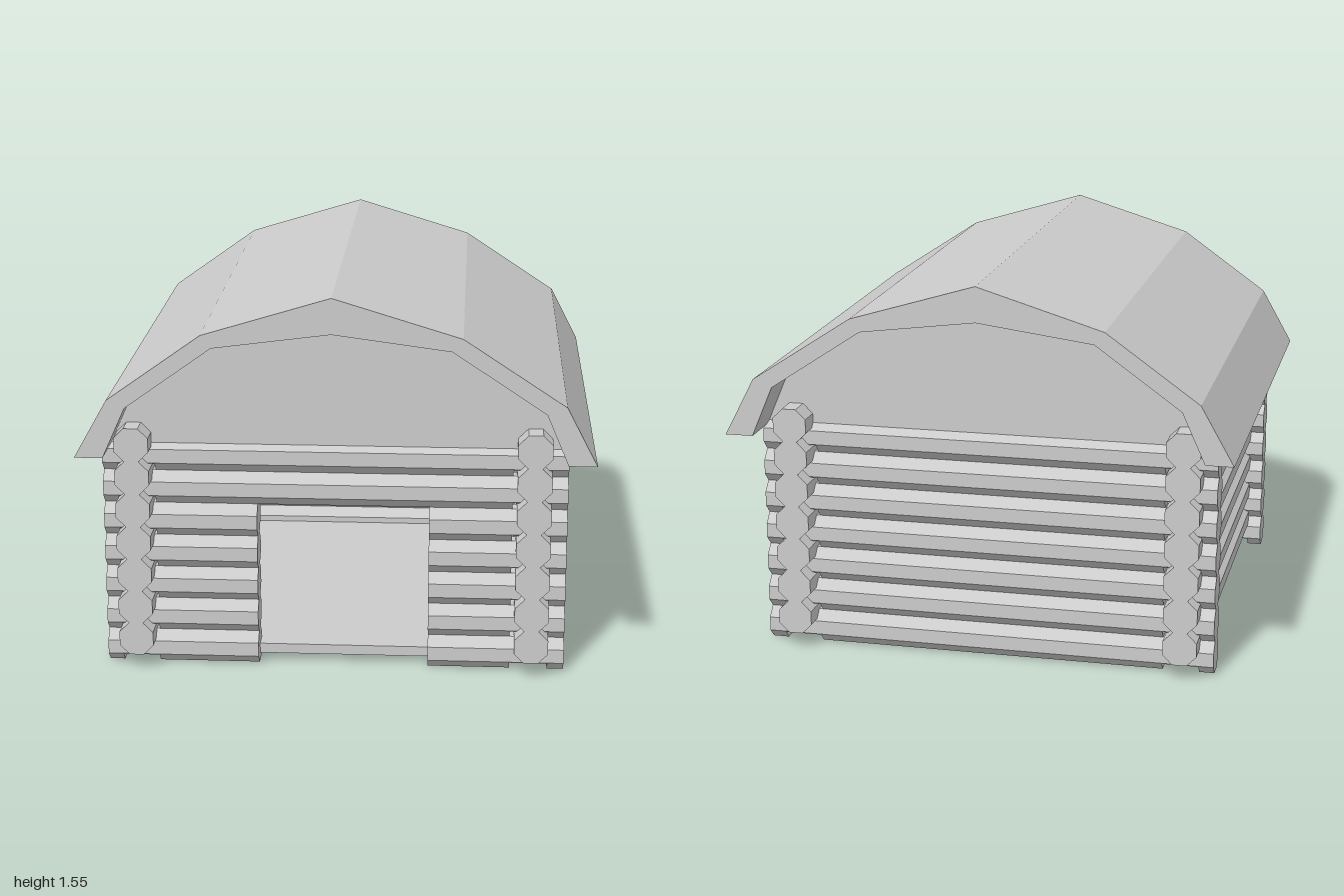
import * as THREE from 'three';
import { mergeGeometries } from 'three/addons/utils/BufferGeometryUtils.js';

const R = 0.067;        // half height of a log
const STEP = 0.134;     // vertical spacing of the logs
const COUNT = 7;
const NOTCH = 0.035;    // depth of the saddle cut under a log

const material = new THREE.MeshStandardMaterial({ color: 0xcccccc, flatShading: true });

function shapeOf(points) {
  return new THREE.Shape(points.map(([x, y]) => new THREE.Vector2(x, y)));
}

function extrude(shape, from, to) {
  const g = new THREE.ExtrudeGeometry(shape, { depth: to - from, bevelEnabled: false });
  return g.translate(0, 0, from);
}

// Octagonal log section, whole and with its underside cut flat
const s = R * 0.42;
const upper = [[R, s], [s, R], [-s, R], [-R, s]];
const fullSection = shapeOf([...upper, [-R, -s], [-s, -R], [s, -R], [R, -s]]);
const cut = -R + NOTCH, cutX = R - (-s - cut);
const notchedSection = shapeOf([...upper, [-R, -s], [-cutX, cut], [cutX, cut], [R, -s]]);

// Log along z, made of whole lengths and notched lengths
function logGeometry(from, to, notches) {
  const pieces = [];
  let at = from;
  for (const [a, b] of notches) {
    if (a < from || b > to) continue;
    pieces.push(extrude(fullSection, at, a), extrude(notchedSection, a, b));
    at = b;
  }
  pieces.push(extrude(fullSection, at, to));
  return mergeGeometries(pieces);
}

export function createModel() {
  const cabin = new THREE.Group();
  cabin.name = 'logCabin';

  function add(parent, name, geometry) {
    const mesh = new THREE.Mesh(geometry, material);
    mesh.name = name;
    parent.add(mesh);
    return mesh;
  }

  function wall(name) {
    const group = new THREE.Group();
    group.name = name;
    cabin.add(group);
    return group;
  }

  // Front and back walls: logs along x, the front one split by the doorway
  const xNotches = [[-0.86, -0.715], [0.685, 0.835]];
  const xLog = (from, to) => logGeometry(from, to, xNotches).rotateY(Math.PI / 2);
  const longLog = xLog(-0.92, 0.9);
  const doorLogs = [xLog(-0.92, -0.315), xLog(0.36, 0.9)];
  const front = wall('frontWall');
  const back = wall('backWall');
  for (let i = 0; i < COUNT; i++) {
    const y = R + i * STEP;
    add(back, 'backLog', longLog).position.set(0, y, -0.78);
    for (const g of i < 5 ? doorLogs : [longLog]) {
      add(front, 'frontLog', g).position.set(0, y, 0.775);
    }
  }

  // Side walls: logs along z, half a step higher
  const sideLog = logGeometry(-0.915, 0.91, [[-0.85, -0.705], [0.7, 0.845]]);
  for (const [name, x] of [['rightWall', -0.795], ['leftWall', 0.768]]) {
    const group = wall(name);
    for (let i = 0; i < COUNT; i++) {
      add(group, 'sideLog', sideLog).position.set(x, 2 * R + i * STEP - 0.003, 0);
    }
  }

  // Floor
  add(cabin, 'floor', new THREE.BoxGeometry(1.58, 0.04, 1.56)).position.set(-0.013, 0.05, 0);

  // Roof: faceted arch with an even underside
  const outer = [[1, 0.91], [0.88, 1.14], [0.485, 1.4], [-0.01, 1.55], [-0.505, 1.4], [-0.87, 1.14], [-1, 0.91]];
  const inner = [[-0.89, 0.91], [-0.8, 1.11], [-0.465, 1.35], [-0.01, 1.41], [0.445, 1.35], [0.805, 1.11], [0.89, 0.91]];
  add(cabin, 'roof', extrude(shapeOf([...outer, ...inner]), -1, 1));

  // Gable panels closing the arch above the end walls
  const gable = shapeOf([...inner].reverse());
  add(cabin, 'frontGable', extrude(gable, 0.75, 0.82));
  add(cabin, 'backGable', extrude(gable, -0.82, -0.75));

  return cabin;
}
